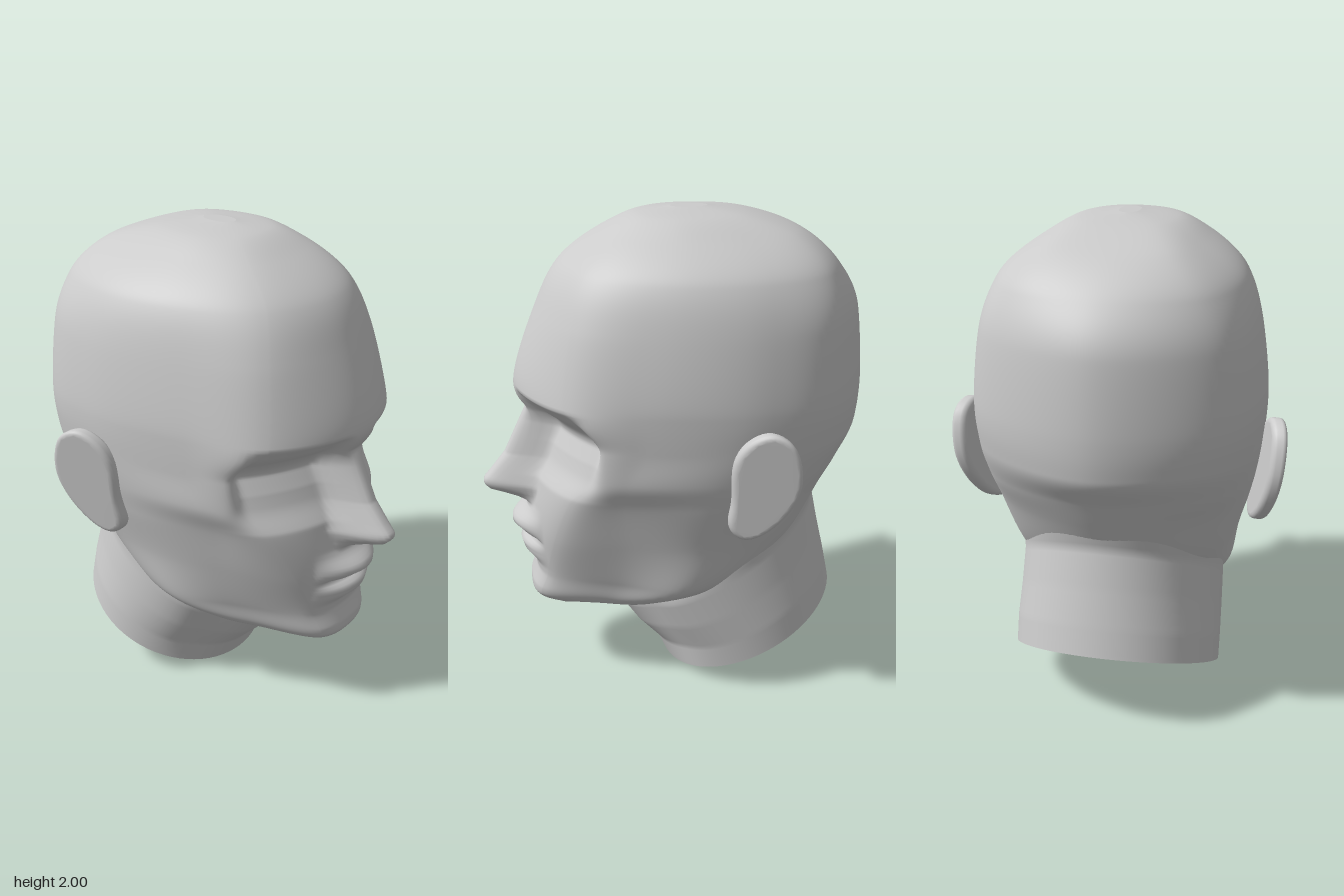
import * as THREE from 'three';
import { mergeVertices } from 'three/addons/utils/BufferGeometryUtils.js';

const { clamp, lerp, smoothstep } = THREE.MathUtils;
const material = new THREE.MeshStandardMaterial({ color: 0xcccccc, roughness: 0.8 });

// Head sections, bottom to top:
// y, front z, then x and z of face corner, cheek, side and rear corner, back z
const SECTIONS = [
  [0.30, 0.53, 0.07, 0.49, 0.09, 0.37, 0.09, 0.25, 0.07, 0.12, 0.10],
  [0.39, 0.615, 0.145, 0.58, 0.26, 0.32, 0.31, 0.14, 0.20, -0.10, -0.20],
  [0.50, 0.61, 0.18, 0.555, 0.33, 0.25, 0.43, 0.00, 0.33, -0.25, -0.40],
  [0.70, 0.62, 0.27, 0.52, 0.40, 0.23, 0.47, -0.08, 0.38, -0.40, -0.55],
  [0.90, 0.59, 0.36, 0.46, 0.45, 0.25, 0.525, -0.15, 0.42, -0.48, -0.66],
  [1.02, 0.57, 0.42, 0.39, 0.50, 0.22, 0.55, -0.20, 0.44, -0.54, -0.72],
  [1.15, 0.575, 0.44, 0.37, 0.515, 0.17, 0.565, -0.25, 0.46, -0.58, -0.79],
  [1.30, 0.65, 0.40, 0.475, 0.52, 0.17, 0.573, -0.27, 0.47, -0.59, -0.80],
  [1.60, 0.555, 0.34, 0.43, 0.49, 0.12, 0.54, -0.28, 0.44, -0.58, -0.775],
  [1.78, 0.46, 0.28, 0.37, 0.44, 0.08, 0.475, -0.28, 0.36, -0.56, -0.68],
  [1.91, 0.28, 0.20, 0.23, 0.31, 0.03, 0.32, -0.25, 0.24, -0.46, -0.52],
  [1.98, 0.13, 0.11, 0.10, 0.18, 0.00, 0.18, -0.16, 0.13, -0.26, -0.29],
  [2.00, 0.00, 0.03, -0.02, 0.04, -0.05, 0.04, -0.10, 0.03, -0.13, -0.15],
];

// Smooth interpolation along the sections without overshoot
function blend(column, t) {
  const v = SECTIONS.map((s) => s[column]);
  const i = Math.min(Math.floor(t), v.length - 2), f = t - i;
  const slope = (k) => {
    const a = v[k] - v[k - 1], b = v[k + 1] - v[k];
    if (k === 0) return b;
    if (k === v.length - 1) return a;
    return a * b > 0 ? (2 * a * b) / (a + b) : 0;
  };
  const f2 = f * f, f3 = f2 * f;
  return v[i] * (2 * f3 - 3 * f2 + 1) + slope(i) * (f3 - 2 * f2 + f)
    + v[i + 1] * (3 * f2 - 2 * f3) + slope(i + 1) * (f3 - f2);
}

// Value at y on a list of [y, value] pairs, given from high y to low
function along(list, y) {
  if (y >= list[0][0]) return list[0][1];
  for (let i = 1; i < list.length; i++) {
    const [y0, a] = list[i - 1], [y1, b] = list[i];
    if (y >= y1) return lerp(a, b, (y0 - y) / (y0 - y1));
  }
  return list[list.length - 1][1];
}

// Face relief by height
const SOCKET = [[1.3, 0], [1.27, 0.03], [1.2, 0.075], [1.14, 0.085], [1.07, 0.05], [0.92, 0]];
const LIPS = [[0.79, 0], [0.76, 0.015], [0.715, 0.062], [0.69, 0.065], [0.665, 0.035], [0.645, -0.025],
  [0.625, 0.015], [0.605, 0.035], [0.57, 0.028], [0.53, -0.012], [0.49, -0.02], [0.42, 0]];
const RIDGE = [[1.3, 0.64], [1.25, 0.61], [1.2, 0.605], [1.0, 0.7], [0.92, 0.765], [0.885, 0.795],
  [0.865, 0.795], [0.84, 0.77], [0.815, 0.7], [0.79, 0.62]];
const NOSE_WIDTH = [[1.25, 0.1], [1.15, 0.09], [1.0, 0.105], [0.87, 0.135], [0.82, 0.115]];

function faceDepth(x, y, z) {
  const ax = Math.abs(x);
  z -= along(SOCKET, y) * smoothstep(ax, 0.05, 0.12) * (1 - smoothstep(ax, 0.39, 0.47));
  z += along(LIPS, y) * (1 - clamp(ax / 0.2, 0, 1) ** 2);
  if (y > 0.79 && y < 1.3) {
    const side = smoothstep(ax, 0.015, along(NOSE_WIDTH, y));
    z = Math.max(z, lerp(along(RIDGE, y), z, side));
    // nostril
    z -= 0.03 * Math.exp(-(((ax - 0.05) / 0.018) ** 2) - ((y - 0.825) / 0.015) ** 2);
  }
  return z;
}

// Skin over closed rings, listed bottom to top, with flat caps
function skin(name, rings) {
  const n = rings[0].length, index = [];
  const points = rings.flat();
  for (let r = 0; r < rings.length - 1; r++) {
    for (let c = 0; c < n; c++) {
      const a = r * n + c, b = r * n + (c + 1) % n;
      index.push(a, b, a + n, b, b + n, a + n);
    }
  }
  for (const [ring, top] of [[rings[0], false], [rings[rings.length - 1], true]]) {
    const start = points.length;
    const centre = ring.reduce((s, p) => s.add(p), new THREE.Vector3()).divideScalar(n);
    points.push(...ring, centre);
    for (let c = 0; c < n; c++) {
      const a = start + c, b = start + (c + 1) % n;
      index.push(start + n, top ? a : b, top ? b : a);
    }
  }
  const geometry = new THREE.BufferGeometry().setFromPoints(points);
  geometry.setIndex(index);
  geometry.computeVertexNormals();
  const mesh = new THREE.Mesh(geometry, material);
  mesh.name = name;
  return mesh;
}

function makeHead() {
  // columns are closest together over the face
  const columns = [];
  [30, 12, 10, 12, 14, 14, 12, 10, 12, 30].forEach((count, s) => {
    for (let k = 0; k < count; k++) columns.push((s + k / count) / 10);
  });
  const rings = [], steps = 18, last = (SECTIONS.length - 1) * steps;
  for (let r = 0; r <= last; r++) {
    const [y, front, ...rest] = SECTIONS[0].map((_, k) => blend(k, r / steps));
    const back = rest.pop();
    const half = [0, 2, 4, 6].map((k) => new THREE.Vector3(rest[k], y, rest[k + 1]));
    const mirrored = half.map((p) => new THREE.Vector3(-p.x, y, p.z)).reverse();
    const curve = new THREE.CatmullRomCurve3([new THREE.Vector3(0, y, front), ...half,
      new THREE.Vector3(0, y, back), ...mirrored], true, 'centripetal');
    rings.push(columns.map((u) => {
      const p = curve.getPoint(u);
      if (p.z > 0.2) p.z = faceDepth(p.x, y, p.z);
      return p;
    }));
  }
  return skin('head', rings);
}

function makeNeck() {
  // tilted rings: front z, front y, back z, back y, half width, throat hollow
  const keys = [
    [0.03, 0.0, -0.71, 0.36, 0.43, 0],
    [0.07, 0.09, -0.685, 0.48, 0.43, 0.015],
    [0.16, 0.18, -0.65, 0.63, 0.425, 0.035],
    [0.23, 0.28, -0.617, 0.79, 0.42, 0.05],
    [0.25, 0.45, -0.66, 0.98, 0.42, 0.03],
  ];
  const rings = [], n = 72, steps = 8;
  for (let r = 0; r <= (keys.length - 1) * steps; r++) {
    const i = Math.min(Math.floor(r / steps), keys.length - 2);
    const [zf, yf, zb, yb, w, hollow] = keys[i].map((v, k) => lerp(v, keys[i + 1][k], r / steps - i));
    rings.push(Array.from({ length: n }, (_, c) => {
      const a = (c / n) * Math.PI * 2, t = (1 - Math.cos(a)) / 2;
      const fromFront = Math.min(a, Math.PI * 2 - a);
      const inward = 1 - 2.2 * hollow * Math.exp(-(((fromFront - 0.65) / 0.28) ** 2));
      return new THREE.Vector3(w * Math.sin(a) * inward, lerp(yf, yb, t),
        lerp(zf, zb, t) - (1 - inward) * 0.4 * Math.cos(a));
    }));
  }
  return skin('neck', rings);
}

// Leaf-shaped ear, flaring outwards to the rear; side is +1 for left
function makeEar(side) {
  const outline = [[0.17, 1.12], [0.215, 1.2], [0.28, 1.235], [0.345, 1.2], [0.38, 1.06],
    [0.345, 0.94], [0.26, 0.835], [0.2, 0.81], [0.165, 0.84], [0.17, 0.95]];
  const shape = new THREE.Shape();
  shape.setFromPoints(new THREE.CatmullRomCurve3(
    outline.map(([s, y]) => new THREE.Vector3(s, y, 0)), true).getPoints(48).slice(0, -1)
    .map((p) => new THREE.Vector2(p.x, p.y)));
  let geometry = new THREE.ExtrudeGeometry(shape, {
    depth: 0.02, bevelThickness: 0.02, bevelSize: 0.02, bevelSegments: 4, curveSegments: 8,
  });
  geometry.deleteAttribute('uv');
  geometry.deleteAttribute('normal');
  geometry = mergeVertices(geometry, 1e-4);
  const p = geometry.attributes.position;
  for (let i = 0; i < p.count; i++) {
    const s = p.getX(i), y = p.getY(i), d = p.getZ(i);
    p.setXYZ(i, side * (0.55 + (s - 0.17) * 0.32 + (y - 1) * 0.12 + d), y, -s);
  }
  if (side < 0) geometry.index.array.reverse();
  geometry.computeVertexNormals();
  const mesh = new THREE.Mesh(geometry, material);
  mesh.name = side > 0 ? 'leftEar' : 'rightEar';
  return mesh;
}

export function createModel() {
  const group = new THREE.Group();
  group.name = 'headBust';
  group.add(makeHead(), makeNeck(), makeEar(1), makeEar(-1));
  return group;
}
